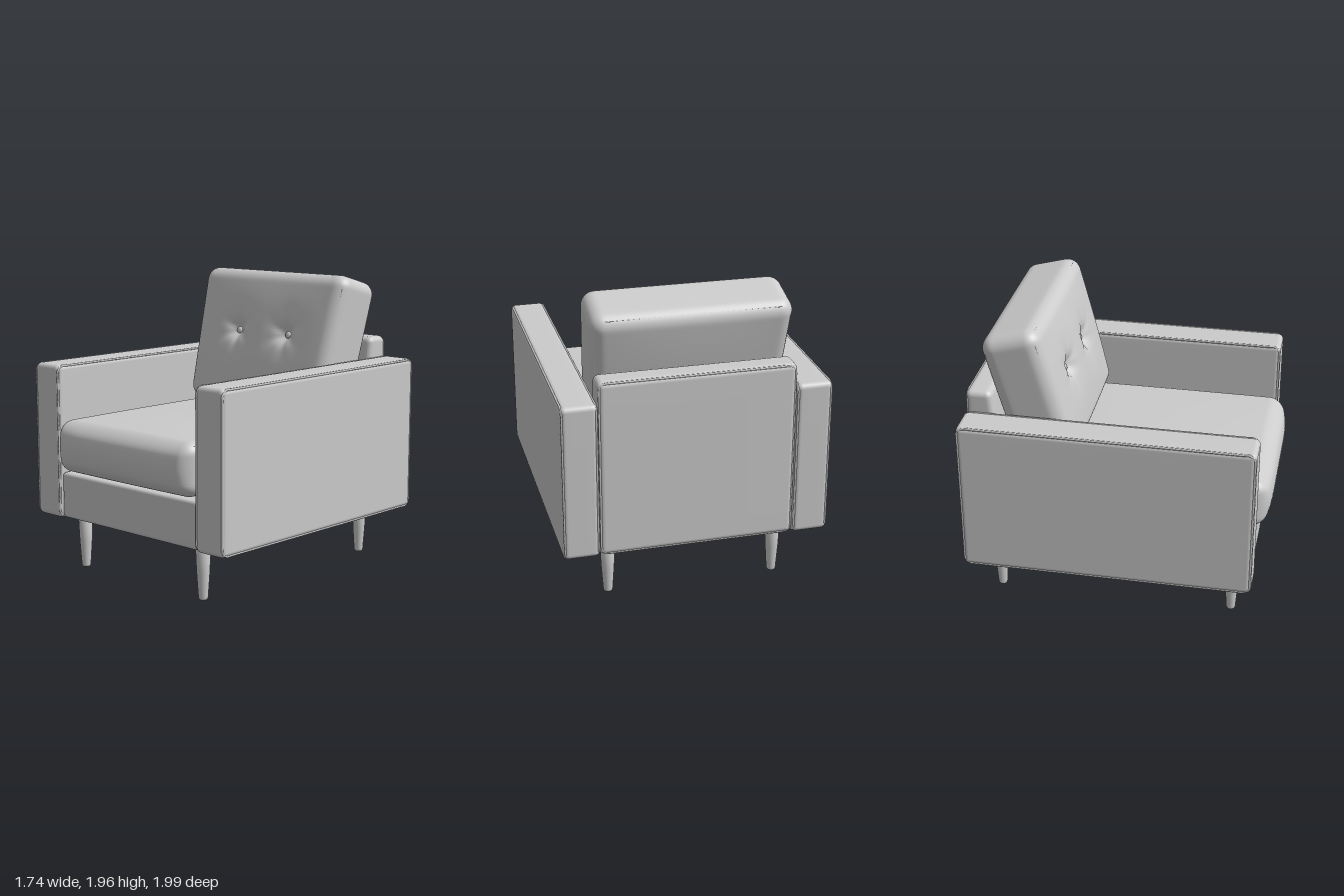
import * as THREE from 'three';
import { mergeVertices } from 'three/addons/utils/BufferGeometryUtils.js';

const material = new THREE.MeshStandardMaterial({ color: 0xcccccc, roughness: 0.8 });

function add(parent, name, geometry, x = 0, y = 0, z = 0) {
  const mesh = new THREE.Mesh(geometry, material);
  mesh.name = name;
  mesh.position.set(x, y, z);
  parent.add(mesh);
  return mesh;
}

// Box with rounded edges: k segments in each corner, m across the flat part; warp(v) reshapes it
function softBox(w, h, d, r, m = [4, 4, 4], warp = null, k = 4) {
  const size = [w, h, d];
  let geo = new THREE.BoxGeometry(w, h, d, m[0] + 2 * k, m[1] + 2 * k, m[2] + 2 * k);
  geo.deleteAttribute('normal');
  geo.deleteAttribute('uv');
  geo = mergeVertices(geo, 1e-5);
  const pos = geo.attributes.position;
  const v = new THREE.Vector3(), core = new THREE.Vector3();
  for (let i = 0; i < pos.count; i++) {
    v.fromBufferAttribute(pos, i);
    for (let a = 0; a < 3; a++) {
      const half = size[a] / 2, n = 2 * k + m[a];
      const t = (v.getComponent(a) / size[a] + 0.5) * n;
      let p;
      if (t <= k) p = -half + (r * t) / k;
      else if (t >= k + m[a]) p = half - (r * (n - t)) / k;
      else p = -half + r + ((2 * half - 2 * r) * (t - k)) / m[a];
      v.setComponent(a, p);
      core.setComponent(a, THREE.MathUtils.clamp(p, -half + r, half - r));
    }
    v.sub(core).setLength(r).add(core);
    if (warp) warp(v);
    pos.setXYZ(i, v.x, v.y, v.z);
  }
  geo.computeVertexNormals();
  return geo;
}

// Piping along a rounded rectangle; place(a, b) turns the flat point into a 3D one
function piping(w, h, r, radius, place) {
  const x = w / 2 - r, y = h / 2 - r, q = Math.PI / 2;
  const shape = new THREE.Shape();
  shape.absarc(x, y, r, 0, q);
  shape.absarc(-x, y, r, q, 2 * q);
  shape.absarc(-x, -y, r, 2 * q, 3 * q);
  shape.absarc(x, -y, r, 3 * q, 4 * q);
  shape.closePath();
  const points = shape.getSpacedPoints(120).slice(0, -1).map((p) => place(p.x, p.y));
  return new THREE.TubeGeometry(new THREE.CatmullRomCurve3(points, true), 200, radius, 6, true);
}

const V = (x, y, z) => new THREE.Vector3(x, y, z);
// 1 in the middle of a panel, 0 at its edges
const crown = (a, b) => Math.max(0, 1 - a * a) * Math.max(0, 1 - b * b);

export function createModel() {
  const model = new THREE.Group();
  model.name = 'armchair';

  // Arms with piping on the inner and outer edges
  for (const side of [1, -1]) {
    const arm = new THREE.Group();
    arm.name = side > 0 ? 'leftArm' : 'rightArm';
    arm.position.set(side * 0.75, 0.87, -0.035);
    model.add(arm);
    add(arm, 'armBody', softBox(0.235, 1.04, 1.91, 0.035, [4, 4, 6]));
    for (const x of [-0.107, 0.107]) {
      add(arm, 'armPiping', piping(1.892, 1.022, 0.035, 0.008, (a, b) => V(x, b, a)));
    }
  }

  // Front rail below the seat
  add(model, 'frontRail', softBox(1.27, 0.31, 0.25, 0.025), 0, 0.51, 0.775);

  // Back panel, thicker towards the bottom
  const backWarp = (v) => {
    const front = THREE.MathUtils.clamp((v.z + 0.03) / 0.06, 0, 1);
    v.z += front * 0.13 * (0.59 - v.y) / 1.18;
  };
  add(model, 'backPanel', softBox(1.27, 1.18, 0.17, 0.04, [4, 8, 4], backWarp), 0, 0.94, -0.897);
  add(model, 'backPiping', piping(1.245, 1.155, 0.04, 0.008, (a, b) => V(a, b, 0)), 0, 0.94, -0.97);

  // Seat cushion with a bulging front and a softly crowned top
  const seat = new THREE.Group();
  seat.name = 'seatCushion';
  seat.position.set(0, 0.855, 0.115);
  model.add(seat);
  const seatWarp = (v) => {
    const fx = v.x / 0.62, fy = v.y / 0.175, fz = v.z / 0.835;
    const lift = 0.02 * crown(fx, fz);
    if (v.z > 0.7) v.z += 0.05 * crown(fx ** 4, fy) * (v.z - 0.7) / 0.135;
    v.y += Math.sign(v.y) * lift * Math.min(1, Math.abs(fy));
  };
  add(seat, 'seatBody', softBox(1.24, 0.35, 1.67, 0.085, [20, 8, 24], seatWarp, 6));
  for (const y of [0.148, -0.148]) {
    add(seat, 'seatSeam', piping(1.192, 1.622, 0.07, 0.005, (a, b) => V(a, y, b)));
  }

  // Leaning back cushion, narrower at the bottom, with two tufts
  const back = new THREE.Group();
  back.name = 'backCushion';
  back.position.set(0, 1.475, -0.575);
  back.rotation.x = -0.26;
  model.add(back);
  const tuftX = 0.225, tuftY = 0.03;
  const taper = (y) => 0.97 + 0.03 * THREE.MathUtils.clamp(y / 0.4, -1, 1);
  const backCushionWarp = (v) => {
    const puff = crown(v.x / 0.64, v.y / 0.47);
    if (v.z > 0.15) {
      v.z += 0.035 * puff;
      for (const x of [-tuftX, tuftX]) {
        const dx = v.x - x, dy = v.y - tuftY, dist = Math.hypot(dx, dy);
        const crease = Math.cos(6 * Math.atan2(dy, dx)) * Math.min(1, dist / 0.05);
        v.z -= 0.05 * Math.exp(-((dist / 0.06) ** 2)) + 0.02 * Math.exp(-((dist / 0.16) ** 2));
        v.z += 0.005 * crease * Math.exp(-((dist / 0.13) ** 2));
      }
    } else if (v.z < -0.15) v.z -= 0.02 * puff;
    v.x *= taper(v.y);
  };
  add(back, 'backCushionBody', softBox(1.29, 0.95, 0.39, 0.09, [64, 44, 8], backCushionWarp, 6));
  for (const z of [0.165, -0.165]) {
    add(back, 'backCushionSeam', piping(1.235, 0.895, 0.065, 0.005, (a, b) => V(a * taper(b), b, z)));
  }
  for (const x of [-tuftX, tuftX]) {
    const button = add(back, 'button', new THREE.SphereGeometry(0.024, 20, 12), x, tuftY, 0.168);
    button.scale.z = 0.6;
  }

  // Tapered legs with rounded feet
  const legProfile = [[0, 0], [0.022, 0], [0.028, 0.006], [0.031, 0.018], [0.042, 0.18], [0.05, 0.37], [0, 0.37]]
    .map(([r, y]) => new THREE.Vector2(r, y));
  for (const x of [-0.555, 0.555]) {
    for (const z of [0.765, -0.82]) {
      add(model, z > 0 ? 'frontLeg' : 'backLeg', new THREE.LatheGeometry(legProfile, 24), x, 0, z);
    }
  }
  return model;
}
